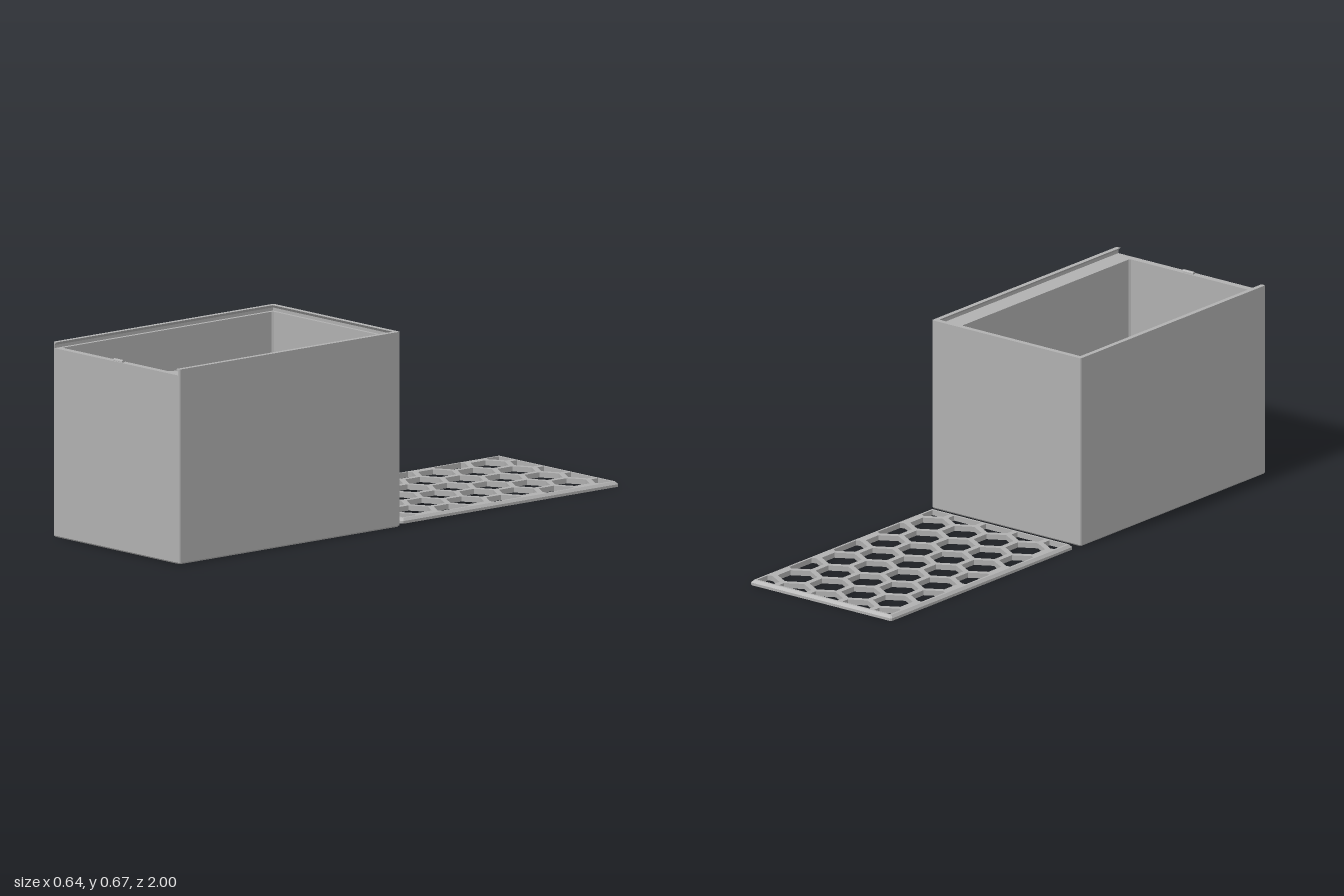
import * as THREE from 'three';

const grey = new THREE.MeshStandardMaterial({ color: 0xb0b0b0 });
grey.name = 'grey plastic';

function part(geometry, name) {
  const flat = geometry.index ? geometry.toNonIndexed() : geometry;
  flat.computeVertexNormals();
  const mesh = new THREE.Mesh(flat, grey);
  mesh.name = name;
  return mesh;
}

// Skin through rectangles with cut corners, each [x0, x1, z0, z1, y, corner]
function loft(loops) {
  const pos = [], idx = [];
  for (const [x0, x1, z0, z1, y, c] of loops) {
    for (const [x, z] of [
      [x0 + c, z1], [x1 - c, z1], [x1, z1 - c], [x1, z0 + c],
      [x1 - c, z0], [x0 + c, z0], [x0, z0 + c], [x0, z1 - c],
    ]) pos.push(x, y, z);
  }
  for (let k = 0; k < loops.length - 1; k++) {
    for (let i = 0; i < 8; i++) {
      const a = k * 8 + i, b = k * 8 + (i + 1) % 8;
      idx.push(a, b, b + 8, a, b + 8, a + 8);
    }
  }
  const g = new THREE.BufferGeometry();
  g.setAttribute('position', new THREE.Float32BufferAttribute(pos, 3));
  g.setIndex(idx);
  return g;
}

// Keep the part of a convex polygon on one side of an axis-aligned line
function clip(points, axis, limit, sign) {
  const out = [];
  points.forEach((p, i) => {
    const q = points[(i + 1) % points.length];
    const dp = (limit - p[axis]) * sign, dq = (limit - q[axis]) * sign;
    if (dp >= 0) out.push(p);
    if (dp * dq < 0) out.push(p.clone().lerp(q, dp / (dp - dq)));
  });
  return out;
}

function createBox() {
  const box = new THREE.Group();
  box.name = 'box';
  const W = 0.322, back = 0.01, front = 1, sill = 0.648;

  // Walls and floor, with one thick side wall
  box.add(part(loft([
    [0, 0, 0.5, 0.5, 0, 0],
    [-W + 0.004, W - 0.004, back + 0.004, front - 0.004, 0, 0.004],
    [-W, W, back, front, 0.005, 0.004],
    [-W, W, back, front, sill, 0.004],
    [-0.302, 0.245, 0.03, 0.975, sill, 0.006],
    [-0.302, 0.245, 0.03, 0.975, 0.026, 0.006],
    [-0.296, 0.239, 0.036, 0.969, 0.02, 0.006],
    [0, 0, 0.5, 0.5, 0.02, 0],
  ]), 'walls'));

  // U-shaped rim whose inner face leans in to hold the sliding lid
  const c = 0.004, groove = 0.315, grooveBack = 0.019;
  const rim = new THREE.Shape([
    [-W, -front + c], [-W + c, -front], [-groove, -front], [-groove, -grooveBack],
    [groove, -grooveBack], [groove, -front], [W - c, -front], [W, -front + c],
    [W, -back - c], [W - c, -back], [-W + c, -back], [-W, -back - c],
  ].map(([x, y]) => new THREE.Vector2(x, y)));
  const g = new THREE.ExtrudeGeometry(rim, { depth: 0.021, steps: 2, bevelEnabled: false });
  g.rotateX(-Math.PI / 2);
  const p = g.attributes.position;
  for (let i = 0; i < p.count; i++) {
    if (p.getY(i) > 0.02 && Math.abs(Math.abs(p.getX(i)) - groove) < 1e-4) {
      p.setX(i, p.getX(i) - Math.sign(p.getX(i)) * 0.01);
      if (p.getZ(i) < 0.1) p.setZ(i, p.getZ(i) + 0.01);
    }
  }
  g.translate(0, sill, 0);
  box.add(part(g, 'lidRail'));

  // Small catch on the front sill
  const catchBump = part(new THREE.CylinderGeometry(0.007, 0.007, 0.046, 12), 'lidCatch');
  catchBump.rotation.z = Math.PI / 2;
  catchBump.position.set(0, sill + 0.001, 0.988);
  box.add(catchBump);
  return box;
}

function createLid() {
  const lid = new THREE.Group();
  lid.name = 'lid';
  const x0 = -0.318, x1 = 0.292, z0 = -1, z1 = -0.027, H = 0.018, inset = 0.013;
  const inner = [x0 + inset, x1 - inset, z0 + inset, z1 - inset];

  // Bevelled frame
  lid.add(part(loft([
    [...inner, 0, 0],
    [x0, x1, z0, z1, 0, 0.005],
    [x0, x1, z0, z1, 0.009, 0.005],
    [x0 + 0.009, x1 - 0.009, z0 + 0.009, z1 - 0.009, H, 0.003],
    [...inner, H, 0],
  ]), 'lidFrame'));

  // Honeycomb plate; holes are cut off at the frame
  const [a, b, c, d] = inner;
  const plate = new THREE.Shape([[a, -d], [b, -d], [b, -c], [a, -c]]
    .map(([x, y]) => new THREE.Vector2(x, y)));
  const pitch = 0.1375, rowPitch = 0.1182, radius = 0.0585 / Math.cos(Math.PI / 6);
  const cx = (x0 + x1) / 2 - 0.001, cz = (z0 + z1) / 2 - 0.002, edge = 0.004;
  for (let row = -4; row <= 4; row++) {
    const count = row % 2 ? 4 : 5;
    for (let i = 0; i < count; i++) {
      const x = cx + (i - (count - 1) / 2) * pitch, y = -(cz + row * rowPitch);
      let hex = [];
      for (let k = 0; k < 6; k++) {
        const t = (k + 0.5) * Math.PI / 3;
        hex.push(new THREE.Vector2(x + radius * Math.cos(t), y + radius * Math.sin(t)));
      }
      hex = clip(hex, 'x', b - edge, 1);
      hex = clip(hex, 'x', a + edge, -1);
      hex = clip(hex, 'y', -c - edge, 1);
      hex = clip(hex, 'y', -d + edge, -1);
      if (hex.length > 2) plate.holes.push(new THREE.Path(hex));
    }
  }
  const g = new THREE.ExtrudeGeometry(plate, { depth: H, bevelEnabled: false });
  g.rotateX(-Math.PI / 2);
  lid.add(part(g, 'honeycomb'));
  return lid;
}

export function createModel() {
  const model = new THREE.Group();
  model.name = 'boxWithSlidingLid';
  model.add(createBox(), createLid());
  return model;
}
